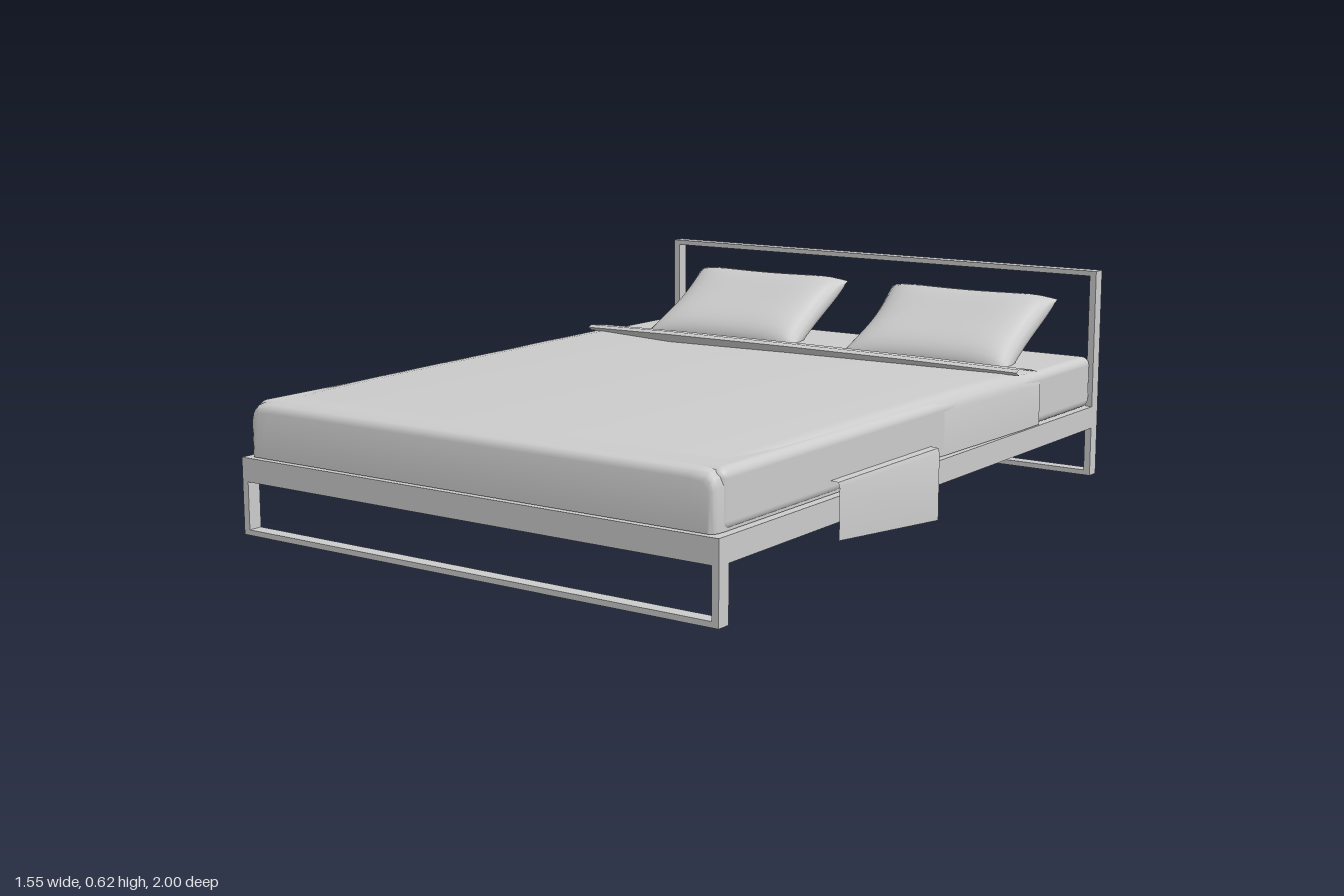
import * as THREE from 'three';
import { RoundedBoxGeometry } from 'three/addons/geometries/RoundedBoxGeometry.js';
import { toCreasedNormals } from 'three/addons/utils/BufferGeometryUtils.js';

const grey = new THREE.MeshStandardMaterial({ color: 0xcccccc });
const cloth = new THREE.MeshStandardMaterial({ color: 0xcccccc, side: THREE.DoubleSide });

// Surface through rows of [x, y, z] points
function loft(rows, crease = 0.6) {
  const n = rows[0].length, index = [];
  for (let r = 0; r < rows.length - 1; r++) {
    for (let i = 0; i < n - 1; i++) {
      const a = r * n + i, b = a + n;
      index.push(a, b, a + 1, b, b + 1, a + 1);
    }
  }
  const g = new THREE.BufferGeometry();
  g.setAttribute('position', new THREE.Float32BufferAttribute(rows.flat(2), 3));
  g.setIndex(index);
  return toCreasedNormals(g, crease);
}

function add(parent, name, geometry, material = grey) {
  const mesh = new THREE.Mesh(geometry, material);
  mesh.name = name;
  parent.add(mesh);
  return mesh;
}

// Box given by its minimum and maximum corners
function box(parent, name, [x0, y0, z0], [x1, y1, z1]) {
  add(parent, name, new THREE.BoxGeometry(x1 - x0, y1 - y0, z1 - z0))
    .position.set((x0 + x1) / 2, (y0 + y1) / 2, (z0 + z1) / 2);
}

// Upright rectangular frame: thin bars with an open middle
function openFrame(parent, name, height, z0, z1) {
  const w = 0.765, t = 0.02, b = 0.015;
  const s = new THREE.Shape([[-w, 0], [w, 0], [w, height], [-w, height]].map(p => new THREE.Vector2(...p)));
  const hole = [[t - w, b], [t - w, height - b], [w - t, height - b], [w - t, b]];
  s.holes.push(new THREE.Path(hole.map(p => new THREE.Vector2(...p))));
  add(parent, name, new THREE.ExtrudeGeometry(s, { depth: z1 - z0, bevelEnabled: false })).position.z = z0;
}

// Arched cross-section of the blanket at one z
function blanketSection([z, w, top, bottom]) {
  const right = [[w, bottom], [w, top - 0.04], [w - 0.006, top - 0.018], [w - 0.022, top - 0.004], [w - 0.06, top]];
  const left = right.map(([x, y]) => [-x, y]).reverse();
  return [...left.reverse(), ...right.reverse()].map(([x, y]) => [x, Math.max(y, bottom), z]);
}

// Cushion with pinched corners, leaning back towards the headboard
function pillow(sign) {
  const N = 16, rows = [];
  const side = k => Array.from({ length: N + 1 }, (_, j) => {
    const v = Math.sin((j / N - 0.5) * Math.PI);
    return Array.from({ length: N + 1 }, (_, i) => {
      const u = Math.sin((i / N - 0.5) * Math.PI);
      const x = u * (0.283 - 0.02 * (1 - v * v));
      const s = v * (0.16 - 0.014 * (1 - u * u));
      const h = k * 0.057 * Math.sqrt(Math.max(0, (1 - u ** 6) * (1 - v ** 4)));
      const sag = 0.012 * (1 - v * v);
      return [x, 0.432 - s * 0.58 + h * 0.96 - sag, s + h * 0.27];
    });
  });
  rows.push(...side(1));
  rows.push(...side(-1).reverse());
  const g = loft(rows, 0.9);
  g.translate(sign * 0.368, 0, sign > 0 ? -0.785 : -0.8);
  return g;
}

export function createModel() {
  const bed = new THREE.Group();
  bed.name = 'bed';

  // Bed frame
  const frame = new THREE.Group();
  frame.name = 'bedFrame';
  bed.add(frame);
  box(frame, 'base', [-0.765, 0.145, -0.98], [0.765, 0.21, 1]);
  openFrame(frame, 'headboard', 0.615, -1, -0.96);
  box(frame, 'headRail', [-0.765, 0.145, -1], [0.765, 0.21, -0.96]);
  openFrame(frame, 'footLegs', 0.16, 0.96, 1);

  // Mattress
  add(bed, 'mattress', new RoundedBoxGeometry(1.5, 0.15, 1.92, 4, 0.025)).position.set(0, 0.285, 0);
  add(bed, 'mattressHead', new RoundedBoxGeometry(1.52, 0.152, 0.5, 4, 0.025)).position.set(0, 0.286, -0.71);

  // Blanket: z, half width, top, bottom; the last rows close the front
  const stations = [
    [-0.61, 0.763, 0.364, 0.212], [-0.5, 0.763, 0.37, 0.212], [-0.25, 0.755, 0.371, 0.212],
    [0, 0.748, 0.37, 0.212], [0.25, 0.746, 0.369, 0.212], [0.5, 0.745, 0.367, 0.212],
    [0.75, 0.745, 0.363, 0.212], [0.95, 0.745, 0.358, 0.212], [0.972, 0.743, 0.355, 0.212],
    [0.983, 0.738, 0.348, 0.212], [0.988, 0.73, 0.335, 0.212], [0.988, 0.73, 0.212, 0.212],
  ];
  // Half-sections run from the hem to the middle and on to the other hem
  const sections = stations.map(s => {
    const p = blanketSection(s), h = p.length / 2;
    return [...p.slice(0, h).sort((a, b) => a[0] - b[0]), ...p.slice(h).sort((a, b) => a[0] - b[0])]
      .sort((a, b) => a[0] - b[0] || (a[0] < 0 ? a[1] - b[1] : b[1] - a[1]));
  });
  add(bed, 'blanket', loft(sections, 0.7), cloth);

  // Turned-down blanket edge with an uneven lip
  const lip = [[-0.755, -0.48], [-0.4, -0.412], [0, -0.442], [0.4, -0.462], [0.755, -0.48]];
  const fold = lip.map(([x, z], i) => {
    const top = [0.385, 0.402, 0.398, 0.393, 0.385][i];
    return [[x, 0.364, -0.61], [x, top - 0.01, z - 0.09], [x, top, z - 0.012], [x, top - 0.007, z + 0.004], [x, 0.368, z - 0.012]];
  });
  add(bed, 'blanketFold', loft(fold, 0.5), cloth);

  // Throw ends hanging over both sides
  for (const s of [-1, 1]) {
    const drape = [[0, 0.055], [0.5, 0.103]].map(([z, hem]) =>
      [[s * 0.742, 0.25, z], [s * 0.772, 0.248, z], [s * 0.776, 0.235, z], [s * 0.776, hem, z]]);
    add(bed, s > 0 ? 'leftThrowEnd' : 'rightThrowEnd', loft(drape, 0.4), cloth);
    add(bed, s > 0 ? 'leftPillow' : 'rightPillow', pillow(s), cloth);
  }
  return bed;
}
